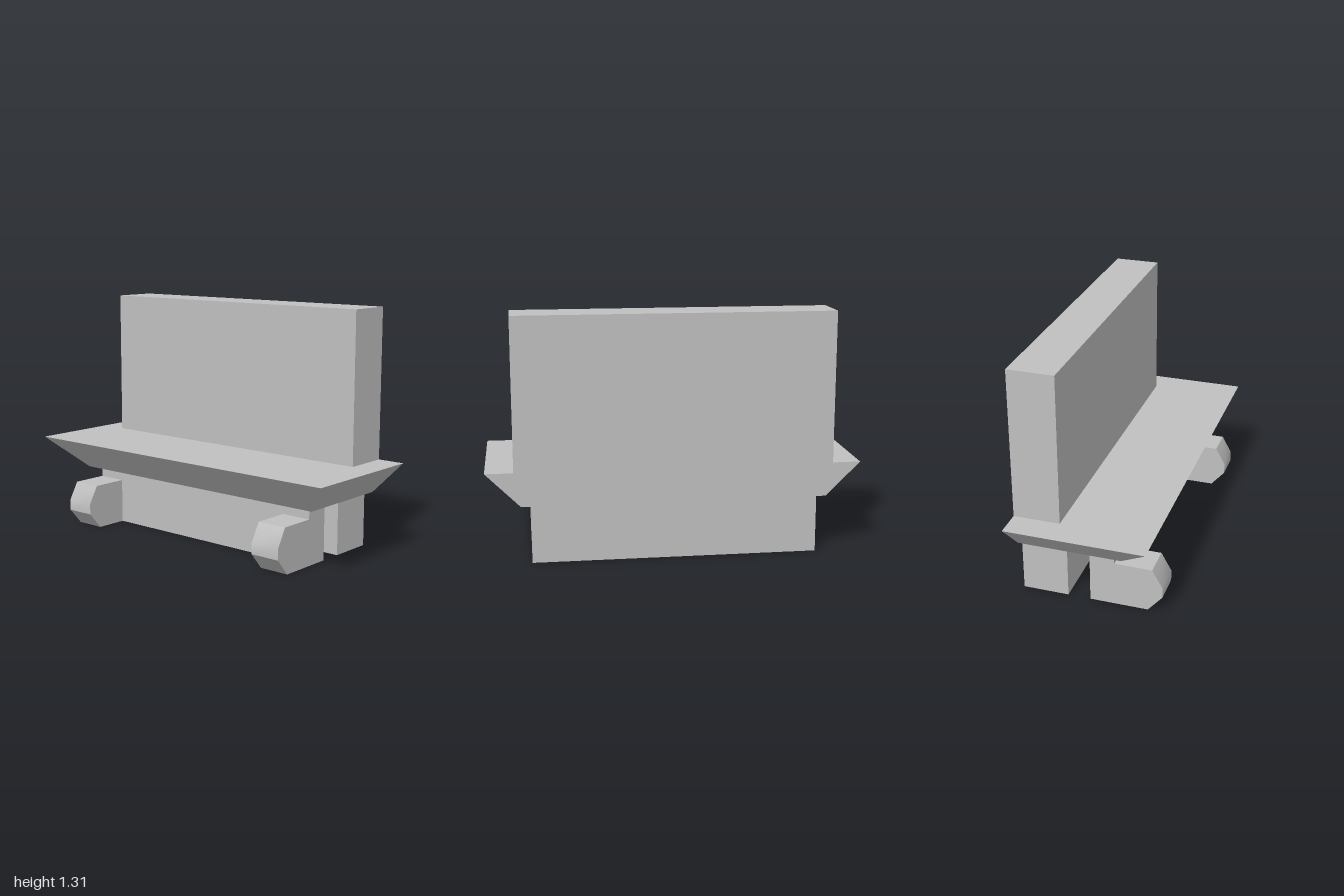
import * as THREE from 'three';
import { toCreasedNormals } from 'three/addons/utils/BufferGeometryUtils.js';

export function createModel() {
  const model = new THREE.Group();
  model.name = 'bench';
  const grey = new THREE.MeshStandardMaterial({ color: 0xc0c0c0 });
  grey.name = 'plain grey';

  const add = (name, geometry) => {
    const mesh = new THREE.Mesh(geometry, grey);
    mesh.name = name;
    model.add(mesh);
    return mesh;
  };
  // Box given by half width, height range and depth range
  const block = (name, halfX, y0, y1, z0, z1) =>
    add(name, new THREE.BoxGeometry(2 * halfX, y1 - y0, z1 - z0))
      .position.set(0, (y0 + y1) / 2, (z0 + z1) / 2);

  const back = -0.38, backFront = -0.13, seatBase = 0.308, seatTop = 0.492;

  // Backrest and the two base walls, joined by a short web in the middle
  block('backrest', 0.85, seatTop, 1.308, back, backFront);
  block('rearBase', 0.763, 0, seatBase, back, backFront);
  block('frontBase', 0.763, 0, seatBase, -0.007, 0.127);
  block('baseWeb', 0.128, 0, seatBase, backFront, -0.007);

  // Seat flares outward at the front and sides, with a flat back
  const seat = new THREE.BoxGeometry(2, 1, 2);
  const p = seat.attributes.position;
  for (let i = 0; i < p.count; i++) {
    const top = p.getY(i) > 0;
    p.setXYZ(i,
      Math.sign(p.getX(i)) * (top ? 1 : 0.815),
      top ? seatTop : seatBase,
      p.getZ(i) < 0 ? back : top ? 0.365 : 0.18);
  }
  seat.computeVertexNormals();
  add('seat', seat);

  // Feet with bevelled toes, profile in depth and height
  const profile = new THREE.Shape([
    [0.127, 0], [0.308, 0], [0.385, 0.09], [0.385, 0.15], [0.33, 0.248], [0.127, 0.248],
  ].map(([z, y]) => new THREE.Vector2(z, y)));
  const width = 0.168;
  const foot = toCreasedNormals(
    new THREE.ExtrudeGeometry(profile, { depth: width, bevelEnabled: false }).rotateY(-Math.PI / 2), 0.53);
  add('leftFoot', foot).position.x = 0.763;
  add('rightFoot', foot).position.x = -0.763 + width;

  return model;
}
